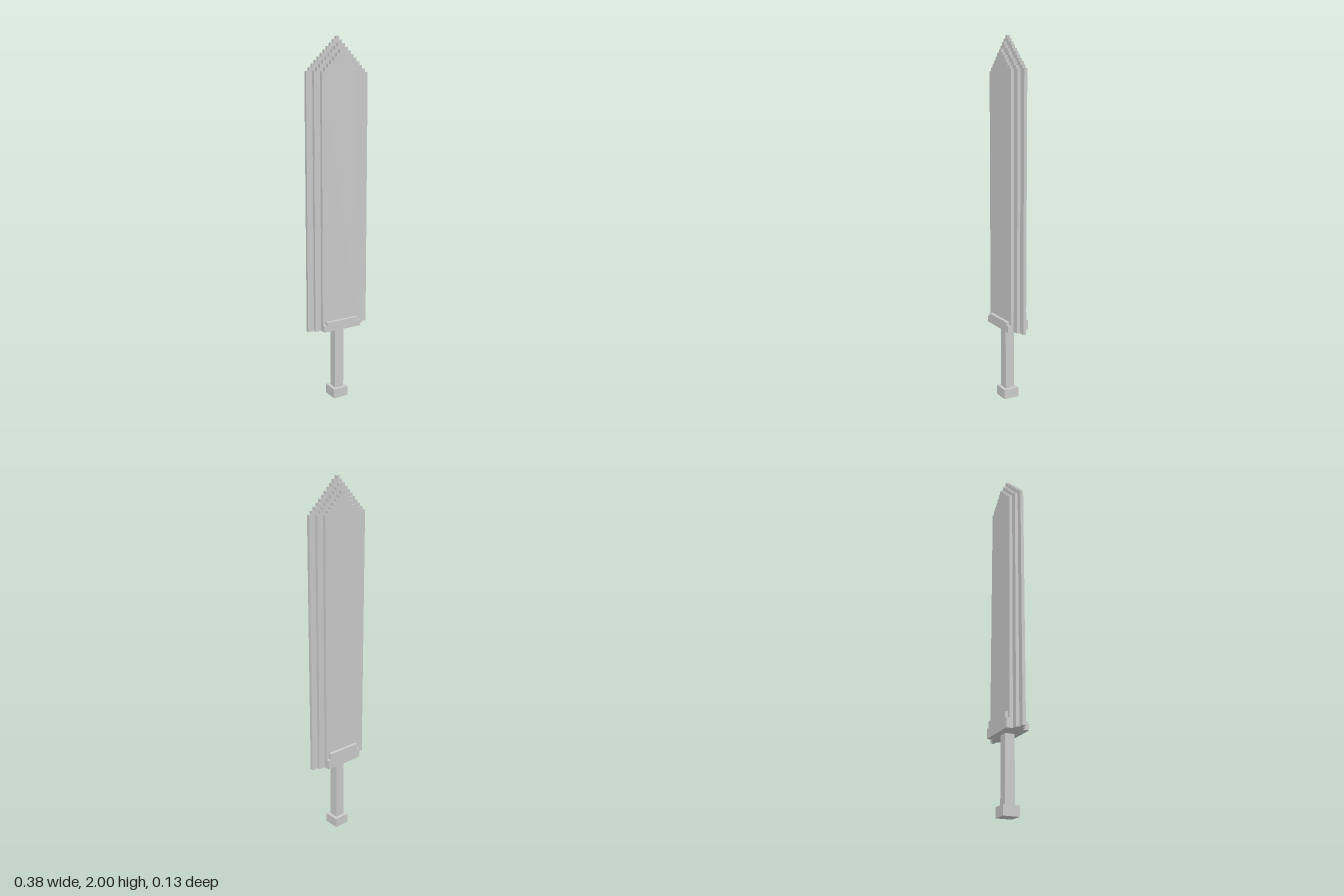
import * as THREE from 'three';

const U = 2 / 111; // edge of one block; the sword is 111 blocks tall
const material = new THREE.MeshStandardMaterial({ color: 0xcccccc, flatShading: true });

function addMesh(group, name, geometry) {
  const mesh = new THREE.Mesh(geometry, material);
  mesh.name = name;
  group.add(mesh);
  return mesh;
}

// Box centred on x = 0, sized in blocks, standing on block row y0
function addBox(group, name, width, y0, y1, depth, z = 0) {
  const mesh = addMesh(group, name, new THREE.BoxGeometry(width * U, (y1 - y0) * U, depth * U));
  mesh.position.set(0, (y0 + y1) / 2 * U, z * U);
}

// Blade layer: straight sides, then a staircase point rising one block per column
function addBladeLayer(group, name, half, depth) {
  const bottom = 23, shoulder = 101;
  const right = [];
  for (let col = half; col >= 0; col--) {
    const top = shoulder + half - col;
    right.push([col + 0.5, col === half ? bottom : top - 1], [col + 0.5, top]);
  }
  const left = right.map(([x, y]) => [-x, y]).reverse();
  const outline = [...right, ...left].map(([x, y]) => new THREE.Vector2(x * U, y * U));
  const geometry = new THREE.ExtrudeGeometry(new THREE.Shape(outline), { depth: depth * U, bevelEnabled: false });
  geometry.translate(0, 0, -depth * U / 2);
  addMesh(group, name, geometry);
}

export function createModel() {
  const sword = new THREE.Group();
  sword.name = 'sword';

  // Grip
  addBox(sword, 'pommel', 5, 0, 3, 5);
  addBox(sword, 'handle', 3, 3, 23, 3);

  // Blade, thinning in steps towards its edges
  const blade = new THREE.Group();
  blade.name = 'blade';
  addBladeLayer(blade, 'cuttingEdge', 10, 1);
  addBladeLayer(blade, 'bevel', 8, 3);
  addBladeLayer(blade, 'core', 6, 5);
  sword.add(blade);

  // Guard plates: low ends and a raised middle, taller on the back
  const guard = new THREE.Group();
  guard.name = 'guard';
  for (const [side, z, endTop, midTop] of [['front', 3, 25, 26], ['back', -3, 26, 28]]) {
    addBox(guard, side + 'GuardPlate', 13, 23, endTop, 1, z);
    addBox(guard, side + 'GuardRidge', 11, endTop, midTop, 1, z);
  }
  sword.add(guard);

  return sword;
}
